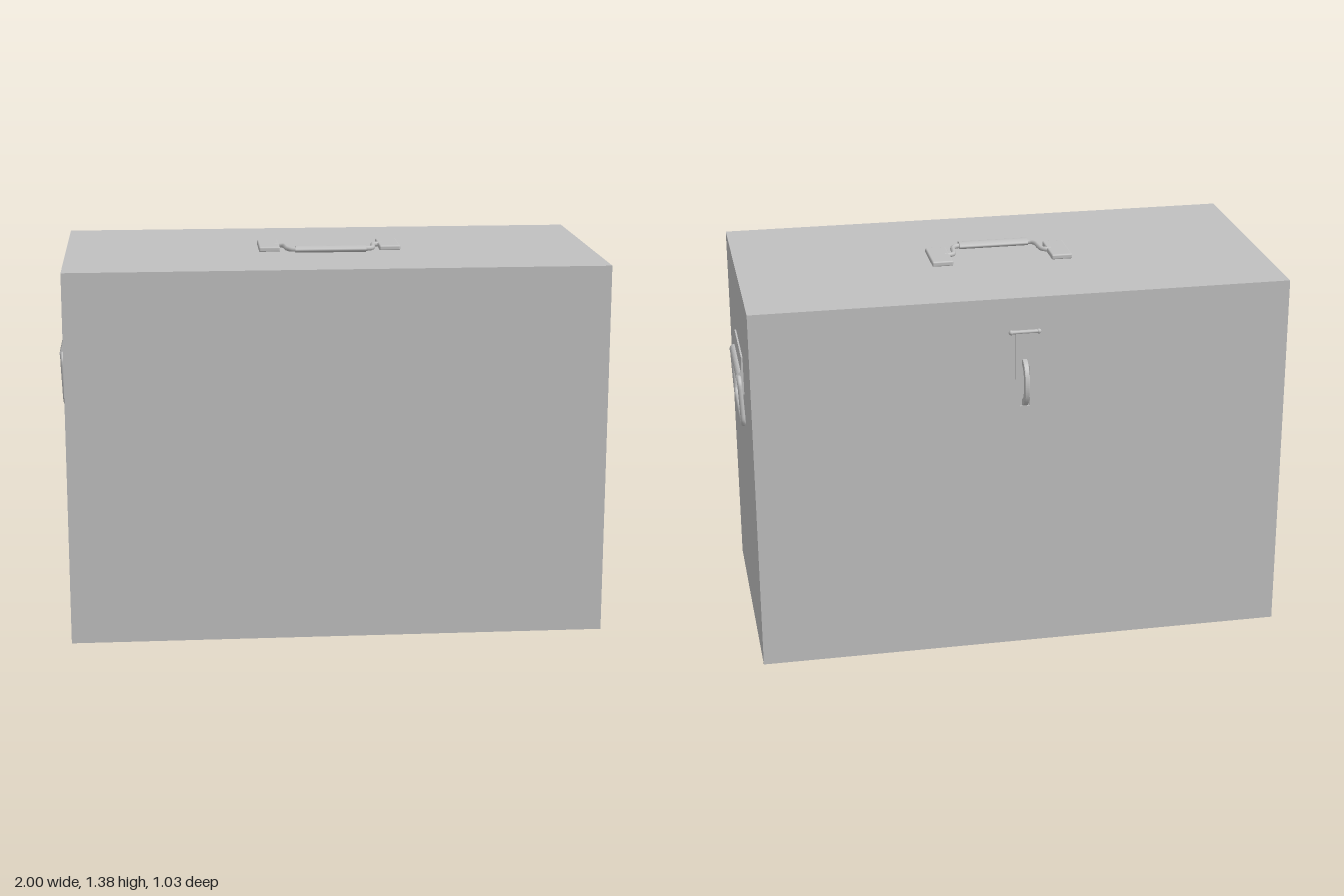
import * as THREE from 'three';
import { RoundedBoxGeometry } from 'three/addons/geometries/RoundedBoxGeometry.js';

const metal = new THREE.MeshStandardMaterial({ color: 0xc0c0c0 });
metal.name = 'grey metal';

function add(parent, name, geometry, x = 0, y = 0, z = 0) {
  const mesh = new THREE.Mesh(geometry, metal);
  mesh.name = name;
  mesh.position.set(x, y, z);
  parent.add(mesh);
  return mesh;
}

// Closed loop of straight sides and rounded corners in the y-z plane
function bailPath(halfZ, y0, y1, r, xBottom, xTop) {
  const pts = [];
  const corners = [[halfZ - r, y1 - r], [-halfZ + r, y1 - r], [-halfZ + r, y0 + r], [halfZ - r, y0 + r]];
  corners.forEach(([z, y], i) => {
    for (let k = 0; k <= 6; k++) {
      const a = (i + k / 6) * Math.PI / 2;
      const py = y + r * Math.sin(a);
      pts.push(new THREE.Vector3(THREE.MathUtils.mapLinear(py, y0, y1, xBottom, xTop), py, z + r * Math.cos(a)));
    }
  });
  const path = new THREE.CurvePath();
  pts.forEach((p, i) => path.add(new THREE.LineCurve3(p, pts[(i + 1) % pts.length])));
  return path;
}

function sideHandle() {
  const group = new THREE.Group();
  // Bracket: flat flanges with a rounded channel that holds the bail
  const s = new THREE.Shape();
  s.moveTo(0, 0.935);
  s.lineTo(0.007, 0.935);
  s.lineTo(0.012, 0.985);
  s.absarc(0.01, 1.004, 0.019, -Math.PI / 2, Math.PI / 2, false);
  s.lineTo(0.009, 1.03);
  s.lineTo(0.007, 1.08);
  s.lineTo(0, 1.08);
  const bracket = new THREE.ExtrudeGeometry(s, { depth: 0.3, bevelEnabled: false, curveSegments: 10 });
  add(group, 'handleBracket', bracket, 0, 0, -0.15);
  // Hanging wire bail
  const bail = new THREE.TubeGeometry(bailPath(0.171, 0.818, 1.005, 0.035, 0.01, 0.018), 160, 0.009, 10, true);
  add(group, 'handleBail', bail);
  return group;
}

function topHandle() {
  const group = new THREE.Group();
  group.name = 'topHandle';
  const grip = add(group, 'grip', new THREE.CylinderGeometry(0.027, 0.027, 0.26, 20), 0, 1.372, 0.138);
  grip.rotation.z = Math.PI / 2;
  grip.scale.x = 0.46;
  for (const side of [-1, 1]) {
    // Mounting pad and the bent wire joining it to the grip
    add(group, 'mountingPad', new RoundedBoxGeometry(0.078, 0.02, 0.175, 2, 0.006), side * 0.223, 1.368, 0.028);
    const v = (x, z) => new THREE.Vector3(side * x, 1.371, z);
    const wire = new THREE.CatmullRomCurve3(
      [v(0.2, 0.034), v(0.182, 0.034), v(0.167, 0.045), v(0.162, 0.075), v(0.157, 0.115), v(0.145, 0.131), v(0.115, 0.136)]);
    add(group, 'gripWire', new THREE.TubeGeometry(wire, 30, 0.009, 8));
  }
  return group;
}

function latch() {
  const group = new THREE.Group();
  group.name = 'latch';
  // Hasp plate with a slot for the staple
  const plate = new THREE.Shape();
  plate.moveTo(-0.034, 0.935);
  plate.lineTo(0.034, 0.935);
  plate.lineTo(0.034, 1.235);
  plate.lineTo(-0.034, 1.235);
  const slot = new THREE.Path();
  slot.moveTo(-0.018, 0.955);
  slot.lineTo(-0.018, 1.135);
  slot.lineTo(0.018, 1.135);
  slot.lineTo(0.018, 0.955);
  plate.holes.push(slot);
  add(group, 'haspPlate', new THREE.ExtrudeGeometry(plate, { depth: 0.007, bevelEnabled: false }), 0, 0, -0.468);

  // Hinge pin across the top with end caps
  const pin = add(group, 'hingePin', new THREE.CylinderGeometry(0.007, 0.007, 0.11, 12), 0, 1.235, -0.463);
  pin.rotation.z = Math.PI / 2;
  for (const x of [-0.05, 0.05]) {
    add(group, 'pinCap', new THREE.SphereGeometry(0.009, 12, 8), x, 1.235, -0.463);
  }

  // Half-ring staple standing out from the box
  const ring = new THREE.Shape();
  ring.absellipse(0, 0, 0.061, 0.088, -Math.PI / 2, Math.PI / 2, false);
  ring.lineTo(0, 0.062);
  ring.absellipse(0, 0, 0.036, 0.062, Math.PI / 2, -Math.PI / 2, true);
  const geo = new THREE.ExtrudeGeometry(ring, {
    depth: 0.012, bevelThickness: 0.003, bevelSize: 0.003, bevelOffset: -0.003, bevelSegments: 2, curveSegments: 20 });
  geo.translate(0, 0, -0.006);
  add(group, 'staple', geo, 0, 1.043, -0.455).rotation.y = Math.PI / 2;
  return group;
}

export function createModel() {
  const model = new THREE.Group();
  model.name = 'storageCase';
  add(model, 'caseBody', new THREE.BoxGeometry(1.944, 1.36, 0.97), 0, 0.68, 0.03);
  for (const side of [1, -1]) {
    const handle = sideHandle();
    handle.name = side > 0 ? 'leftHandle' : 'rightHandle';
    handle.position.set(side * 0.971, 0, 0.033);
    if (side < 0) handle.rotation.y = Math.PI;
    model.add(handle);
  }
  model.add(topHandle(), latch());
  return model;
}
